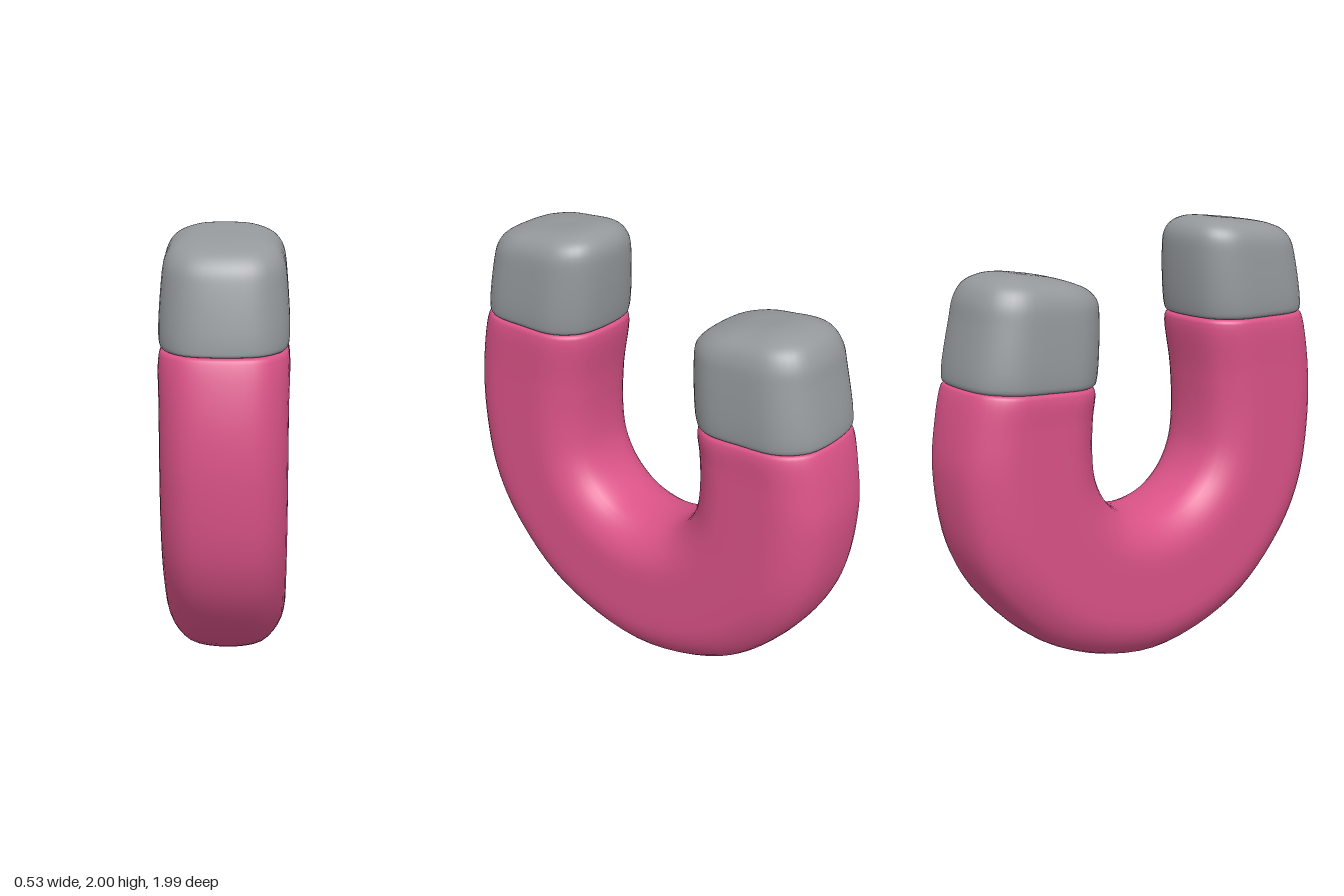
import * as THREE from 'three';
import { mergeVertices } from 'three/addons/utils/BufferGeometryUtils.js';

// Quarter of the soft-cornered bar section: [width fraction, depth fraction]
const QUARTER = [[1, 0], [1, 0.4], [0.94, 0.61], [0.8, 0.79], [0.6, 0.925], [0.32, 0.985]];

function barSection(count) {
  const pts = [
    ...QUARTER,
    [0, 1],
    ...QUARTER.slice(1).reverse().map(([x, d]) => [-x, d]),
    [-1, 0],
    ...QUARTER.slice(1).map(([x, d]) => [-x, -d]),
    [0, -1],
    ...QUARTER.slice(1).reverse().map(([x, d]) => [x, -d]),
  ].map(([x, d]) => new THREE.Vector3(x, d, 0));
  const curve = new THREE.CatmullRomCurve3(pts, true);
  return Array.from({ length: count }, (_, i) => curve.getPoint(i / count));
}

// Sweep the section through stations [outerZ, outerY, innerZ, innerY, halfWidth]
function sweep(stations, stepsPerStation) {
  const sides = 48;
  const section = barSection(sides);
  const outer = new THREE.CatmullRomCurve3(stations.map(s => new THREE.Vector3(s[4], s[1], s[0])));
  const inner = new THREE.CatmullRomCurve3(stations.map(s => new THREE.Vector3(s[4], s[3], s[2])));
  const rings = (stations.length - 1) * stepsPerStation;
  const positions = [];
  const index = [];
  for (let i = 0; i <= rings; i++) {
    const o = outer.getPoint(i / rings);
    const n = inner.getPoint(i / rings);
    const cy = (o.y + n.y) / 2;
    const cz = (o.z + n.z) / 2;
    for (let j = 0; j < sides; j++) {
      const p = section[j];
      positions.push(p.x * o.x, cy + p.y * (o.y - cy), cz + p.y * (o.z - cz));
      if (i === rings) continue;
      const a = i * sides + j;
      const b = i * sides + (j + 1) % sides;
      index.push(a, b, a + sides, b, b + sides, a + sides);
    }
  }
  const geometry = new THREE.BufferGeometry();
  geometry.setAttribute('position', new THREE.Float32BufferAttribute(positions, 3));
  geometry.setIndex(index);
  const merged = mergeVertices(geometry, 1e-5);
  merged.computeVertexNormals();
  return merged;
}

export function createModel() {
  const pink = new THREE.MeshStandardMaterial({ color: 0xdb5388 });
  pink.name = 'pink';
  const grey = new THREE.MeshStandardMaterial({ color: 0x95999c });
  grey.name = 'grey';

  const W = 0.261;
  const group = new THREE.Group();
  group.name = 'horseshoeMagnet';
  const add = (name, stations, steps, material) => {
    const mesh = new THREE.Mesh(sweep(stations, steps), material);
    mesh.name = name;
    group.add(mesh);
  };

  // Curved bar, from the tall front arm round to the short back arm
  add('curvedBar', [
    [0.615, 1.538, 0.615, 1.538, 0],
    [0.915, 1.535, 0.318, 1.545, 0.248],
    [0.93, 1.515, 0.303, 1.525, W],
    [0.985, 1.28, 0.335, 1.28, W],
    [0.995, 1.0, 0.345, 1.06, W],
    [0.94, 0.66, 0.325, 0.92, W],
    [0.8, 0.405, 0.26, 0.805, W],
    [0.5, 0.136, 0.15, 0.725, W],
    [0, 0, 0, 0.695, W],
    [-0.5, 0.136, -0.15, 0.725, W],
    [-0.8, 0.405, -0.25, 0.805, W],
    [-0.94, 0.66, -0.31, 0.92, W],
    [-0.993, 1.0, -0.325, 1.06, W],
    [-0.975, 1.2, -0.32, 1.2, W],
    [-0.938, 1.36, -0.31, 1.315, W],
    [-0.925, 1.377, -0.325, 1.335, 0.248],
    [-0.62, 1.355, -0.62, 1.355, 0],
  ], 6, pink);

  // Grey tips: slightly narrowing, with a tilted, softly domed end
  add('frontTip', [
    [0.54, 1.985, 0.54, 1.985, 0],
    [0.65, 1.972, 0.43, 1.998, 0.09],
    [0.74, 1.953, 0.36, 1.993, 0.16],
    [0.81, 1.922, 0.31, 1.965, 0.212],
    [0.855, 1.87, 0.285, 1.92, 0.24],
    [0.88, 1.79, 0.28, 1.83, 0.252],
    [0.917, 1.565, 0.3, 1.575, W],
    [0.913, 1.54, 0.312, 1.55, 0.25],
    [0.61, 1.542, 0.61, 1.542, 0],
  ], 6, grey);

  add('backTip', [
    [-0.615, 1.358, -0.615, 1.358, 0],
    [-0.922, 1.38, -0.312, 1.338, 0.25],
    [-0.932, 1.405, -0.3, 1.362, W],
    [-0.888, 1.65, -0.28, 1.63, 0.252],
    [-0.867, 1.74, -0.285, 1.7, 0.24],
    [-0.83, 1.798, -0.325, 1.747, 0.212],
    [-0.77, 1.83, -0.4, 1.782, 0.16],
    [-0.69, 1.84, -0.48, 1.806, 0.09],
    [-0.585, 1.826, -0.585, 1.826, 0],
  ], 6, grey);

  return group;
}
